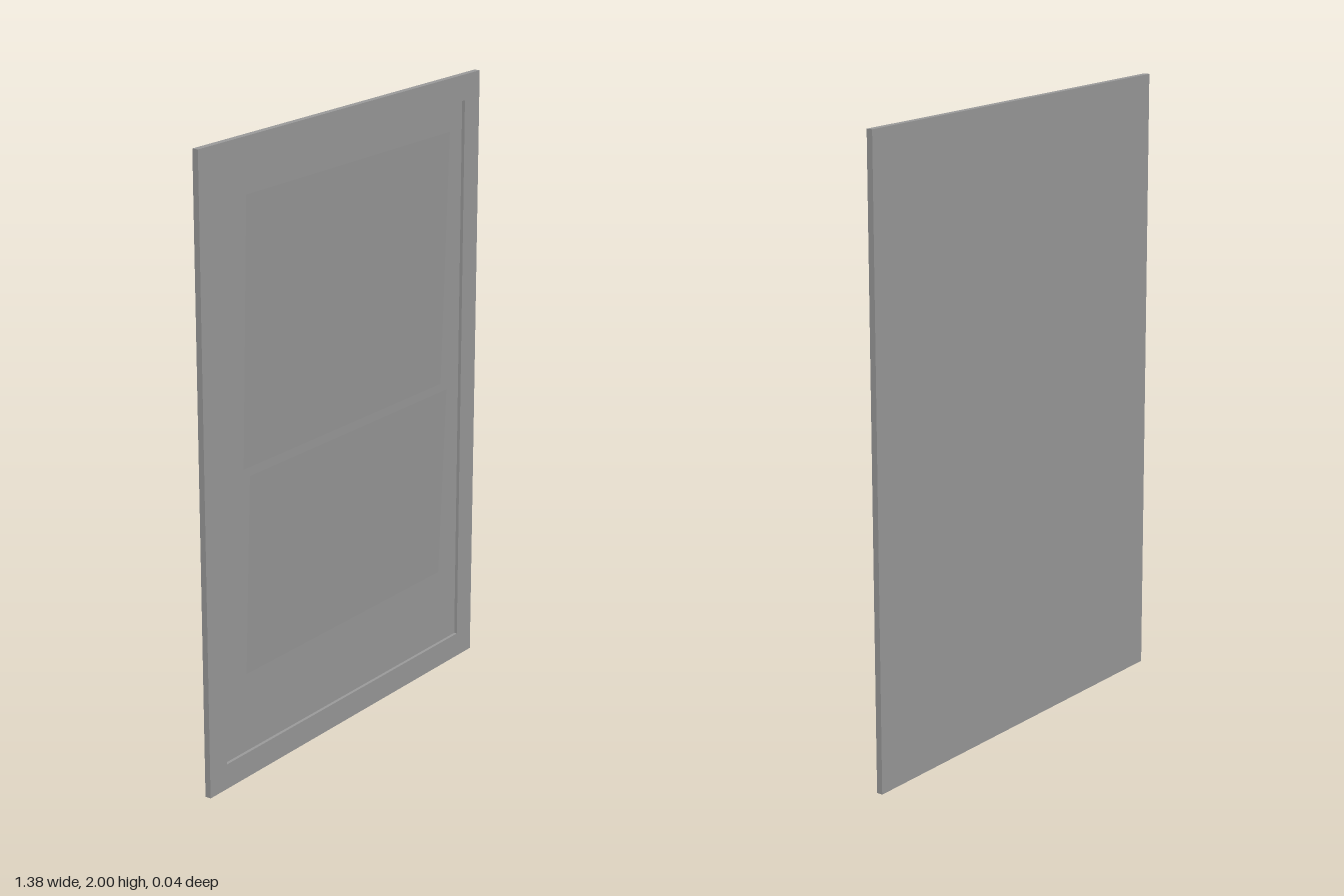
import * as THREE from 'three';

const W = 1.385, H = 2;         // outer size
const BACK = -0.0175, FRAME_FRONT = 0.0025, FLOOR = -0.008, TIP = 0.0175;

function rect(target, x, y0, y1) {
  target.moveTo(-x, y0);
  target.lineTo(x, y0);
  target.lineTo(x, y1);
  target.lineTo(-x, y1);
  target.closePath();
  return target;
}

export function createModel() {
  const group = new THREE.Group();
  const solid = new THREE.MeshStandardMaterial({ color: 0x9c9c9c });
  const sheet = new THREE.MeshStandardMaterial({ color: 0x9c9c9c, side: THREE.DoubleSide });
  const add = (name, geometry, material) => {
    const mesh = new THREE.Mesh(geometry, material);
    mesh.name = name;
    group.add(mesh);
  };

  // Thin backing board
  const backing = new THREE.BoxGeometry(W, H, FLOOR - BACK);
  backing.translate(0, H / 2, (FLOOR + BACK) / 2);
  add('backPanel', backing, solid);

  // Raised border around the recessed field
  const border = rect(new THREE.Shape(), W / 2, 0, H);
  border.holes.push(rect(new THREE.Path(), 0.612, 0.082, 1.917));
  const frame = new THREE.ExtrudeGeometry(border, { depth: FRAME_FRONT - FLOOR, bevelEnabled: false });
  frame.translate(0, 0, FLOOR);
  add('frame', frame, solid);

  // Thin tilted sheets: proud at the top, almost touching the board at the bottom
  const tiltedSheet = (name, top, bottom) => {
    const foot = FLOOR + 0.002;
    const rise = top - bottom, lean = TIP - foot;
    const geometry = new THREE.PlaneGeometry(1.012, Math.hypot(rise, lean));
    geometry.rotateX(Math.atan2(lean, rise));
    geometry.translate(0.003, (top + bottom) / 2, (TIP + foot) / 2);
    add(name, geometry, sheet);
  };
  tiltedSheet('upperSheet', 1.836, 1.0);
  tiltedSheet('lowerSheet', 0.985, 0.34);

  return group;
}
